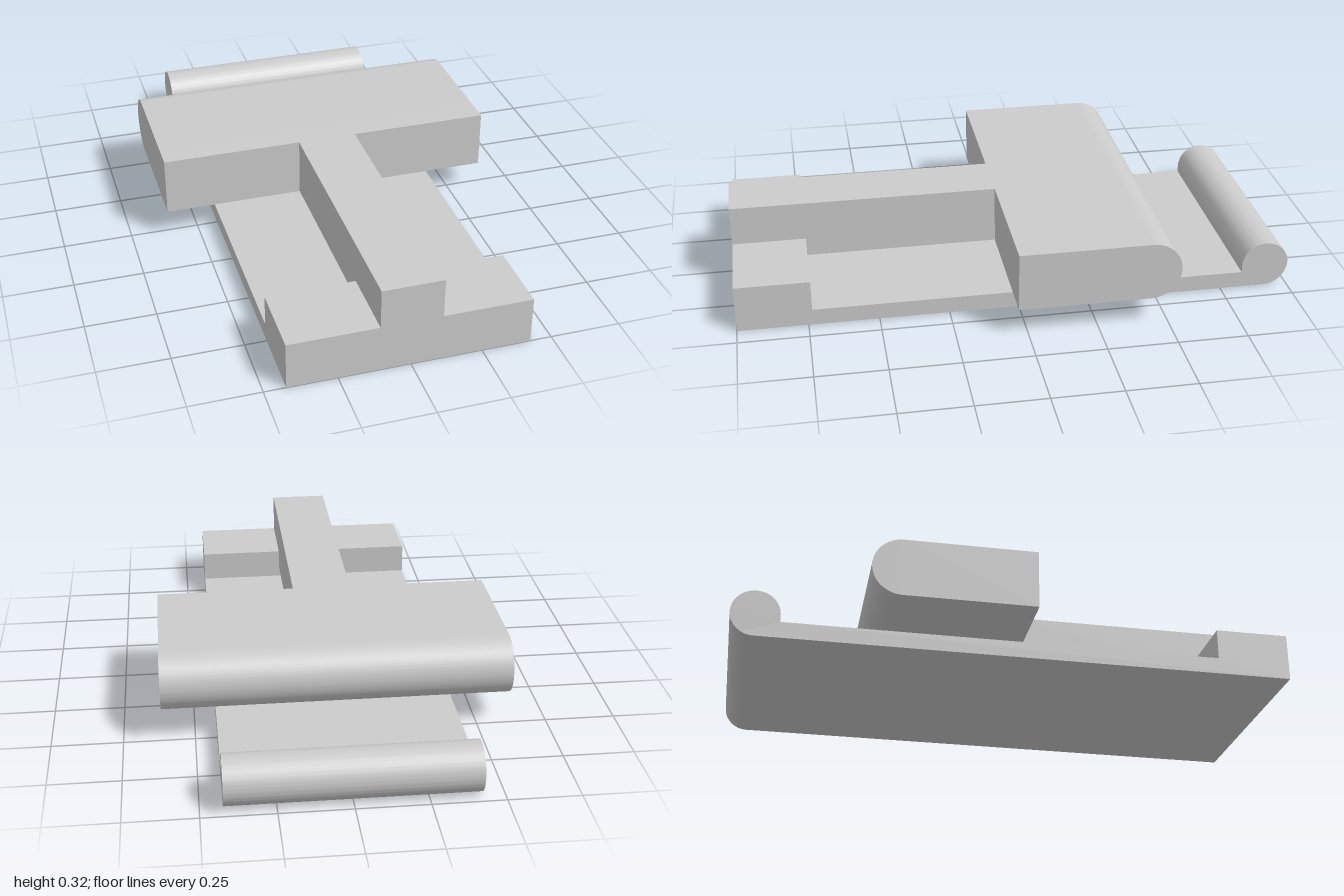
import * as THREE from 'three';
import { toCreasedNormals } from 'three/addons/utils/BufferGeometryUtils.js';

const material = new THREE.MeshStandardMaterial({ color: 0xcccccc });

// Extrudes a side profile (u = -z, v = y) across x, centred on x = 0.
function sideExtrusion(name, shape, width) {
  const geometry = new THREE.ExtrudeGeometry(shape, { depth: width, bevelEnabled: false, curveSegments: 32 });
  geometry.translate(0, 0, -width / 2);
  geometry.rotateY(Math.PI / 2);
  const mesh = new THREE.Mesh(toCreasedNormals(geometry, 0.5), material);
  mesh.name = name;
  return mesh;
}

export function createModel() {
  const group = new THREE.Group();
  group.name = 'springClip';

  const blockTop = 0.172, blockBack = 0.735, plateTop = 0.06, beadR = 0.086;
  const armBottom = 0.103, armTop = 0.316, padFront = 0.035, padR = (armTop - armBottom) / 2;

  // Base: front block, thin plate and rounded bead at the back
  const base = new THREE.Shape();
  base.moveTo(-1, 0);
  base.lineTo(1 - beadR, 0);
  base.absarc(1 - beadR, beadR, beadR, -Math.PI / 2, Math.PI, false);
  base.lineTo(1 - 2 * beadR, plateTop);
  base.lineTo(-blockBack, plateTop);
  base.lineTo(-blockBack, blockTop);
  base.lineTo(-1, blockTop);
  base.closePath();
  group.add(sideExtrusion('base', base, 0.848));

  // Stem: rises from the block and reaches back over the plate
  const stem = new THREE.Shape();
  stem.moveTo(-1, blockTop);
  stem.lineTo(-blockBack, blockTop);
  stem.lineTo(-blockBack, armBottom);
  stem.lineTo(-padFront, armBottom);
  stem.lineTo(-padFront, armTop);
  stem.lineTo(-1, armTop);
  stem.closePath();
  group.add(sideExtrusion('stem', stem, 0.216));

  // Pad: wide head of the arm with a rounded back edge
  const pad = new THREE.Shape();
  pad.moveTo(-padFront, armBottom);
  pad.lineTo(0.54 - padR, armBottom);
  pad.absarc(0.54 - padR, armBottom + padR, padR, -Math.PI / 2, Math.PI / 2, false);
  pad.lineTo(-padFront, armTop);
  pad.closePath();
  group.add(sideExtrusion('pad', pad, 1.23));

  return group;
}
